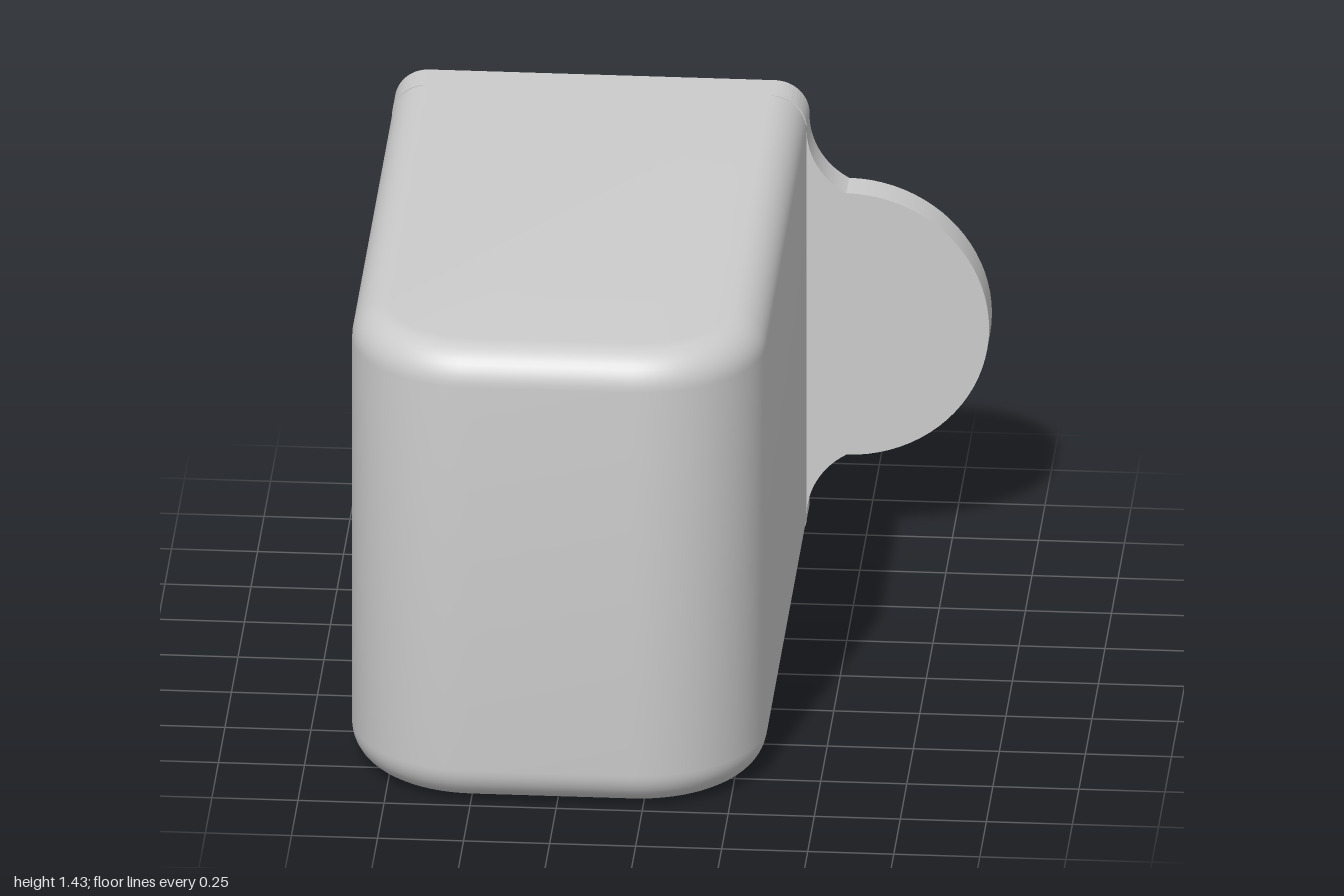
import * as THREE from 'three';
import { toCreasedNormals } from 'three/addons/utils/BufferGeometryUtils.js';

const LEFT = -0.87, RIGHT = 0.335, HEIGHT = 1.435;
const BACK = -1, FRONT = 1, PLATE = 0.11; // plate thickness
const CORNER = 0.37, EDGE = 0.11; // upright front corners, top and bottom edges

// U-shaped outline (back right, round the front, back left), shrunk by an inset
function outline(inset, steps = 16) {
  const r = CORNER - inset, zc = FRONT - CORNER;
  const pts = [[RIGHT - inset, BACK + PLATE]];
  for (const [xc, start] of [[RIGHT - CORNER, 0], [LEFT + CORNER, Math.PI / 2]]) {
    for (let i = 0; i <= steps; i++) {
      const a = start + (i / steps) * Math.PI / 2;
      pts.push([xc + r * Math.cos(a), zc + r * Math.sin(a)]);
    }
  }
  pts.push([LEFT + inset, BACK + PLATE]);
  return pts;
}

// Body: outlines stacked upward, with rounded rims; its back is closed by the plate
function bodyGeometry() {
  const layers = [], steps = 10;
  for (let i = 0; i <= steps; i++) {
    const a = (i / steps) * Math.PI / 2;
    layers.push([EDGE * (1 - Math.cos(a)), EDGE * (1 - Math.sin(a))]); // y, inset
  }
  for (const [y, inset] of layers.slice().reverse()) layers.push([HEIGHT - y, inset]);

  const pos = [], index = [];
  let n = 0;
  for (const [y, inset] of layers) {
    const ring = outline(inset);
    n = ring.length;
    for (const [x, z] of ring) pos.push(x, y, z);
  }
  for (let j = 0; j < layers.length - 1; j++) {
    for (let i = 0; i < n - 1; i++) {
      const a = j * n + i, b = a + 1, c = a + n, d = c + 1;
      index.push(a, c, b, b, c, d);
    }
  }
  // flat bottom and top
  const top = (layers.length - 1) * n;
  for (let i = 1; i < n - 1; i++) {
    index.push(0, i, i + 1, top, top + i + 1, top + i);
  }
  const g = new THREE.BufferGeometry();
  g.setAttribute('position', new THREE.Float32BufferAttribute(pos, 3));
  g.setIndex(index);
  return toCreasedNormals(g, 0.6);
}

// Back plate: rounded rectangle with a round tab blended in on one side
function plateGeometry() {
  const r = 0.1, mid = HEIGHT / 2, tabX = 0.45, tabR = 0.415;
  const fillet = 0.226, filletY = 0.612, sweep = Math.asin((filletY - tabR) / fillet);
  const s = new THREE.Shape();
  s.moveTo(LEFT + r, 0);
  s.lineTo(RIGHT - r, 0);
  s.absarc(RIGHT - r, r, r, -Math.PI / 2, 0, false);
  s.absarc(RIGHT + fillet, mid - filletY, fillet, Math.PI, Math.PI - sweep, true);
  s.absarc(tabX, mid, tabR, -Math.PI / 2, Math.PI / 2, false);
  s.absarc(RIGHT + fillet, mid + filletY, fillet, Math.PI + sweep, Math.PI, true);
  s.absarc(RIGHT - r, HEIGHT - r, r, 0, Math.PI / 2, false);
  s.absarc(LEFT + r, HEIGHT - r, r, Math.PI / 2, Math.PI, false);
  s.absarc(LEFT + r, r, r, Math.PI, Math.PI * 1.5, false);
  const g = new THREE.ExtrudeGeometry(s, { depth: PLATE, bevelEnabled: false, curveSegments: 20 });
  g.translate(0, 0, BACK);
  return toCreasedNormals(g, 0.4);
}

export function createModel() {
  const group = new THREE.Group();
  const material = new THREE.MeshStandardMaterial({ color: 0xcccccc });
  const add = (name, geometry) => {
    const mesh = new THREE.Mesh(geometry, material);
    mesh.name = name;
    group.add(mesh);
  };
  add('body', bodyGeometry());
  add('backPlateWithTab', plateGeometry());
  return group;
}
